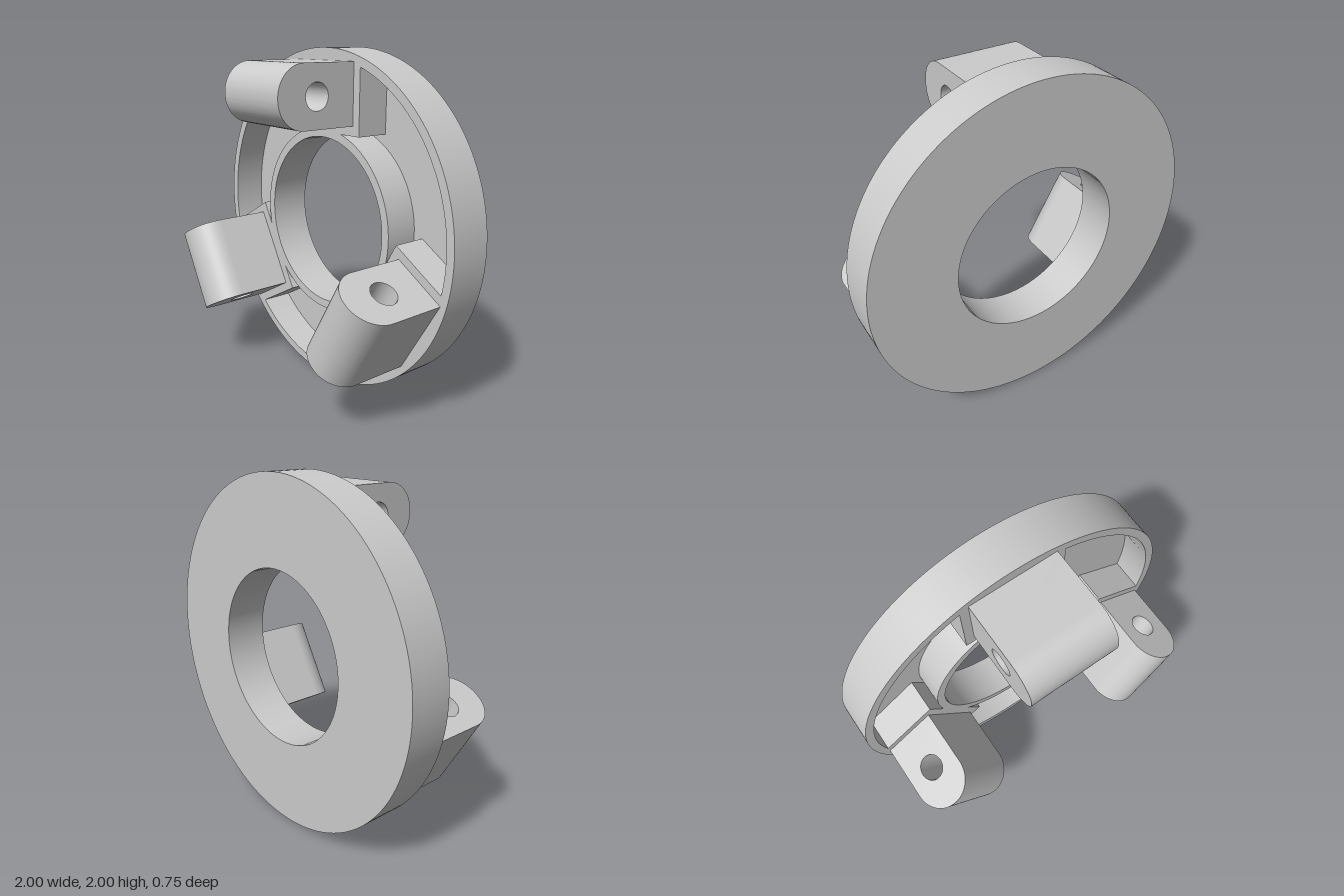
import * as THREE from 'three';
import { toCreasedNormals } from 'three/addons/utils/BufferGeometryUtils.js';

const BACK = -0.375, FRONT = -0.125, FLOOR = -0.325; // z levels of the flange
const OUTER = 1, BORE = 0.5, WALL = 0.05;
const PAD_HALF = 0.3, PAD_BOTTOM = 0.53;             // solid pad behind each lug
const THIRD = Math.PI * 2 / 3;

const material = new THREE.MeshStandardMaterial({ color: 0xcccccc });

function extrude(shape, depth, curveSegments) {
  const g = new THREE.ExtrudeGeometry(shape, { depth, bevelEnabled: false, curveSegments });
  return toCreasedNormals(g, Math.PI / 6);
}

function addMesh(parent, name, geometry) {
  const mesh = new THREE.Mesh(geometry, material);
  mesh.name = name;
  parent.add(mesh);
  return mesh;
}

function ringShape() {
  const shape = new THREE.Shape().absarc(0, 0, OUTER, 0, Math.PI * 2, false);
  shape.holes.push(new THREE.Path().absarc(0, 0, BORE, 0, Math.PI * 2, true));
  return shape;
}

// Outline of the pocket between two pads, symmetric about the angle 30° + turn
function pocketPath(turn) {
  const rOut = OUTER - WALL, rIn = BORE + WALL;
  const aOut = Math.acos(PAD_HALF / rOut);
  const aTip = Math.asin(PAD_BOTTOM / rIn);
  const aCorner = Math.atan2(PAD_BOTTOM, PAD_HALF);
  const rCorner = Math.hypot(PAD_BOTTOM, PAD_HALF);
  const mirror = a => Math.PI / 3 - a;
  const points = [];
  const polar = (r, a) => points.push(new THREE.Vector2(r * Math.cos(a + turn), r * Math.sin(a + turn)));
  const arc = (r, from, to, n) => {
    for (let i = 0; i <= n; i++) polar(r, from + (to - from) * i / n);
  };
  arc(rOut, aOut, mirror(aOut), 36);
  polar(rCorner, mirror(aCorner));
  arc(rIn, mirror(aTip), aTip, 36);
  polar(rCorner, aCorner);
  return new THREE.Path(points);
}

// Round-nosed lug with a cross hole; profile drawn as (z, radius)
function lugGeometry() {
  const low = 0.585, high = 0.93, tip = 0.375, r = 0.168;
  const s = new THREE.Shape();
  s.moveTo(FRONT, low);
  s.lineTo(tip - r, low);
  s.absarc(tip - r, low + r, r, -Math.PI / 2, 0, false);
  s.absarc(tip - r, high - r, r, 0, Math.PI / 2, false);
  s.lineTo(FRONT, high);
  s.closePath();
  s.holes.push(new THREE.Path().absarc(0.125, 0.758, 0.075, 0, Math.PI * 2, true));
  return extrude(s, 0.5, 16).rotateY(-Math.PI / 2).translate(0.25, 0, 0);
}

export function createModel() {
  const model = new THREE.Group();
  model.name = 'lugFlange';
  const body = new THREE.Group();
  body.name = 'flange';
  body.position.y = 1;
  model.add(body);

  // Thin back plate, which is also the pocket floor
  addMesh(body, 'backPlate', extrude(ringShape(), FLOOR - BACK, 96)).position.z = BACK;

  // Rims and pads left standing around three pockets
  const frame = ringShape();
  for (let i = 0; i < 3; i++) frame.holes.push(pocketPath(i * THIRD));
  addMesh(body, 'pocketedFrame', extrude(frame, FRONT - FLOOR, 96)).position.z = FLOOR;

  // Three lugs, one on each pad
  const lug = lugGeometry();
  ['topLug', 'rightLug', 'leftLug'].forEach((name, i) => {
    addMesh(body, name, lug).rotation.z = i * THIRD;
  });

  return model;
}
